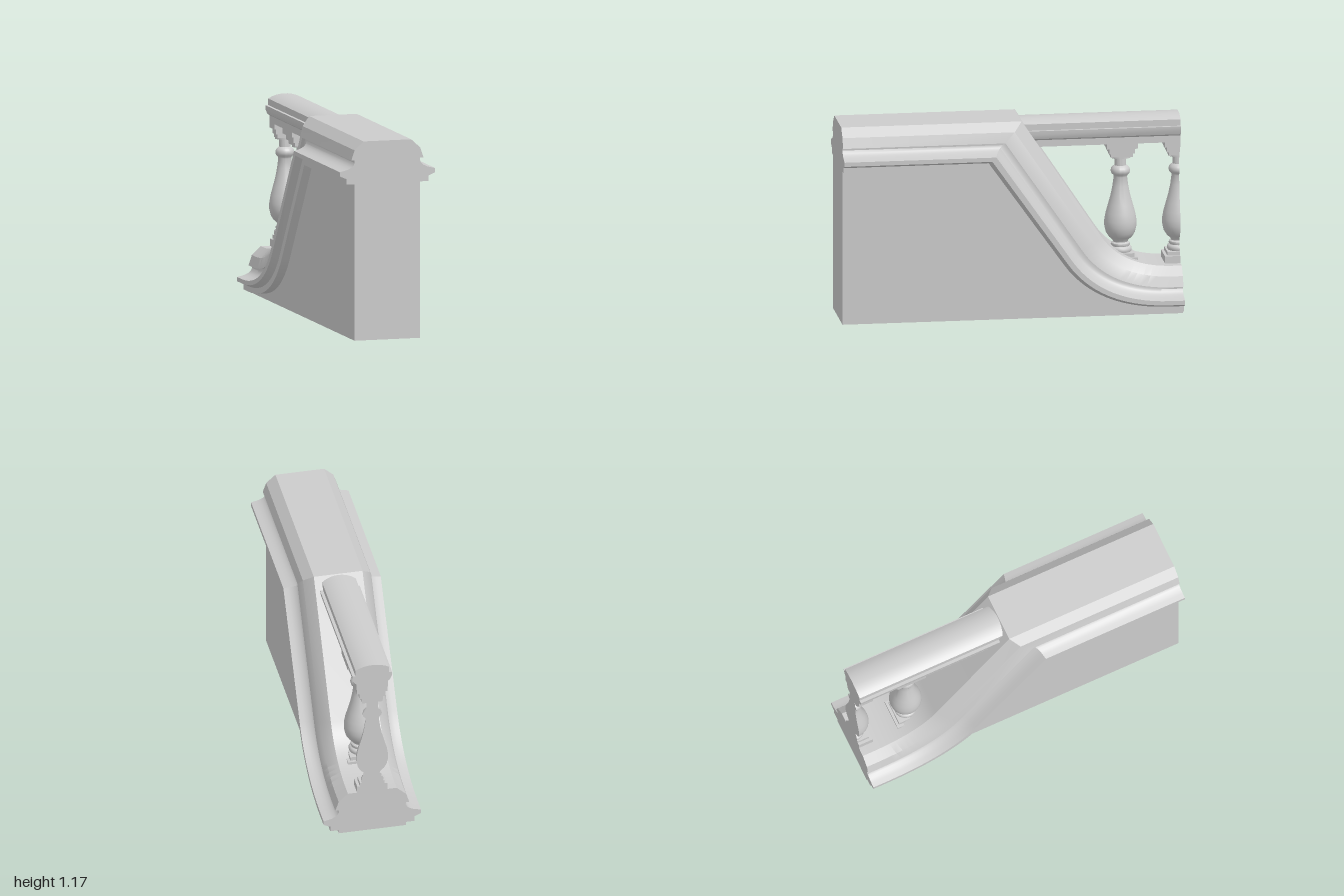
import * as THREE from 'three';
import { toCreasedNormals } from 'three/addons/utils/BufferGeometryUtils.js';

const mat = new THREE.MeshStandardMaterial({ color: 0xcccccc });
const V = (x, y) => new THREE.Vector2(x, y);

function add(parent, geo, name, x = 0, y = 0, z = 0) {
  const m = new THREE.Mesh(geo, mat);
  m.name = name;
  m.position.set(x, y, z);
  parent.add(m);
  return m;
}

// Half outline (top to bottom) mirrored into a closed outline
const mirrored = half => [...half, ...half.map(([x, y]) => [-x, y]).reverse()];
const toShape = pts => new THREE.Shape(pts.map(([x, y]) => V(x, y)));

// Side path as (z, y): level run, straight ramp, then an easing curve
function sidePath(start, bend, curveStart, control, curveEnd, end) {
  const ease = new THREE.QuadraticBezierCurve(V(...curveStart), V(...control), V(...curveEnd));
  return [V(...start), V(...bend), ...ease.getPoints(14), V(...end)];
}
const topPath = sidePath([1, 1.17], [-0.06, 1.17], [-0.53, 0.46], [-0.655, 0.272], [-0.95, 0.272], [-1, 0.272]);
const lowPath = sidePath([1, 0.92], [0.18, 0.92], [-0.26, 0.305], [-0.464, 0.022], [-0.9, 0.022], [-1, 0.022]);

// Coping outline: half width and depth fraction (0 = top path, 1 = low path)
const copingHalf = [
  [0.145, 0], [0.2, 0.2], [0.22, 0.44], [0.2, 0.44], [0.199, 0.5], [0.206, 0.56], [0.22, 0.61],
  [0.24, 0.65], [0.262, 0.675], [0.29, 0.7], [0.29, 0.8], [0.25, 0.87], [0.25, 1], [0.2, 1],
];

function copingGeometry() {
  const outline = mirrored(copingHalf);
  const n = outline.length, pos = [], index = [];
  topPath.forEach((top, j) => {
    for (const [x, t] of outline) {
      const p = top.clone().lerp(lowPath[j], t);
      pos.push(x, p.y, p.x);
    }
    if (j === 0) return;
    for (let k = 0; k < n; k++) {
      const k2 = (k + 1) % n, a = (j - 1) * n, b = j * n;
      index.push(a + k, a + k2, b + k, a + k2, b + k2, b + k);
    }
  });
  const g = new THREE.BufferGeometry();
  g.setAttribute('position', new THREE.Float32BufferAttribute(pos, 3));
  g.setIndex(index);
  return toCreasedNormals(g, 0.5);
}

// Flat end of the coping at path point j
function copingEnd(j) {
  const top = topPath[j].y, low = lowPath[j].y;
  return new THREE.ShapeGeometry(toShape(mirrored(copingHalf).map(([x, t]) => [x, top + (low - top) * t])));
}

// Turned profile (radius, height)
const turned = [
  [0.062, 0.335], [0.066, 0.345], [0.066, 0.358], [0.06, 0.366], [0.052, 0.37], [0.056, 0.378],
  [0.054, 0.388], [0.043, 0.395], [0.046, 0.405], [0.068, 0.425], [0.085, 0.452], [0.094, 0.49],
  [0.094, 0.525], [0.086, 0.57], [0.072, 0.62], [0.057, 0.675], [0.046, 0.73], [0.039, 0.785],
  [0.042, 0.795], [0.053, 0.805], [0.057, 0.82], [0.053, 0.837], [0.042, 0.847], [0.034, 0.853],
  [0.033, 0.9], [0.06, 0.9], [0.06, 0.92],
];
// Square blocks: half width, bottom, top
const blocks = [
  ['plinth', 0.09, 0.18, 0.315], ['plinthStep', 0.073, 0.31, 0.337],
  ['capitalStep', 0.064, 0.912, 0.94], ['capitalBlock', 0.075, 0.935, 0.97], ['abacus', 0.091, 0.968, 1.005],
];

// Baluster; a half one is cut flat on its rear side
function baluster(half) {
  const g = new THREE.Group();
  g.name = half ? 'halfBaluster' : 'baluster';
  const start = half ? -Math.PI / 2 : 0, sweep = half ? Math.PI : Math.PI * 2;
  const lathe = new THREE.LatheGeometry(turned.map(p => V(...p)), half ? 20 : 40, start, sweep);
  add(g, toCreasedNormals(lathe, 0.7), 'turnedShaft');
  for (const [name, w, y0, y1] of blocks) {
    const d = half ? w : 2 * w;
    add(g, new THREE.BoxGeometry(2 * w, y1 - y0, d), name, 0, (y0 + y1) / 2, half ? w / 2 : 0);
  }
  if (half) {
    const cut = new THREE.ShapeGeometry(toShape(mirrored(turned)));
    add(g, cut.rotateY(Math.PI), 'cutFace');
  }
  return g;
}

export function createModel() {
  const model = new THREE.Group();
  model.name = 'balustradeEnd';

  // Solid wall under the coping
  const wallShape = new THREE.Shape([V(-1, 0), V(1, 0), ...lowPath]);
  const wall = new THREE.ExtrudeGeometry(wallShape, { depth: 0.4, bevelEnabled: false });
  wall.translate(0, 0, -0.2).rotateY(-Math.PI / 2);
  add(model, wall, 'wall');

  // Moulded coping sweeping down to the base
  const coping = new THREE.Group();
  coping.name = 'coping';
  add(coping, copingGeometry(), 'copingMoulding');
  add(coping, copingEnd(0), 'copingFrontEnd', 0, 0, 1);
  add(coping, copingEnd(topPath.length - 1).rotateY(Math.PI), 'copingRearEnd', 0, 0, -1);
  model.add(coping);

  // Handrail with a gently rounded top
  const railHalf = [
    [0.02, 1.164], [0.05, 1.159], [0.08, 1.149], [0.1, 1.138], [0.1, 1.1], [0.118, 1.1],
    [0.116, 1.075], [0.106, 1.05], [0.093, 1.04], [0.093, 1.0],
  ];
  const rail = new THREE.ExtrudeGeometry(toShape(mirrored(railHalf)), { depth: 0.94, bevelEnabled: false });
  add(model, toCreasedNormals(rail, 0.4), 'handrail', 0, 0, -1);

  // Balusters
  [[-0.66, false], [-1, true]].forEach(([z, half]) => {
    const b = baluster(half);
    b.position.z = z;
    model.add(b);
  });

  return model;
}
